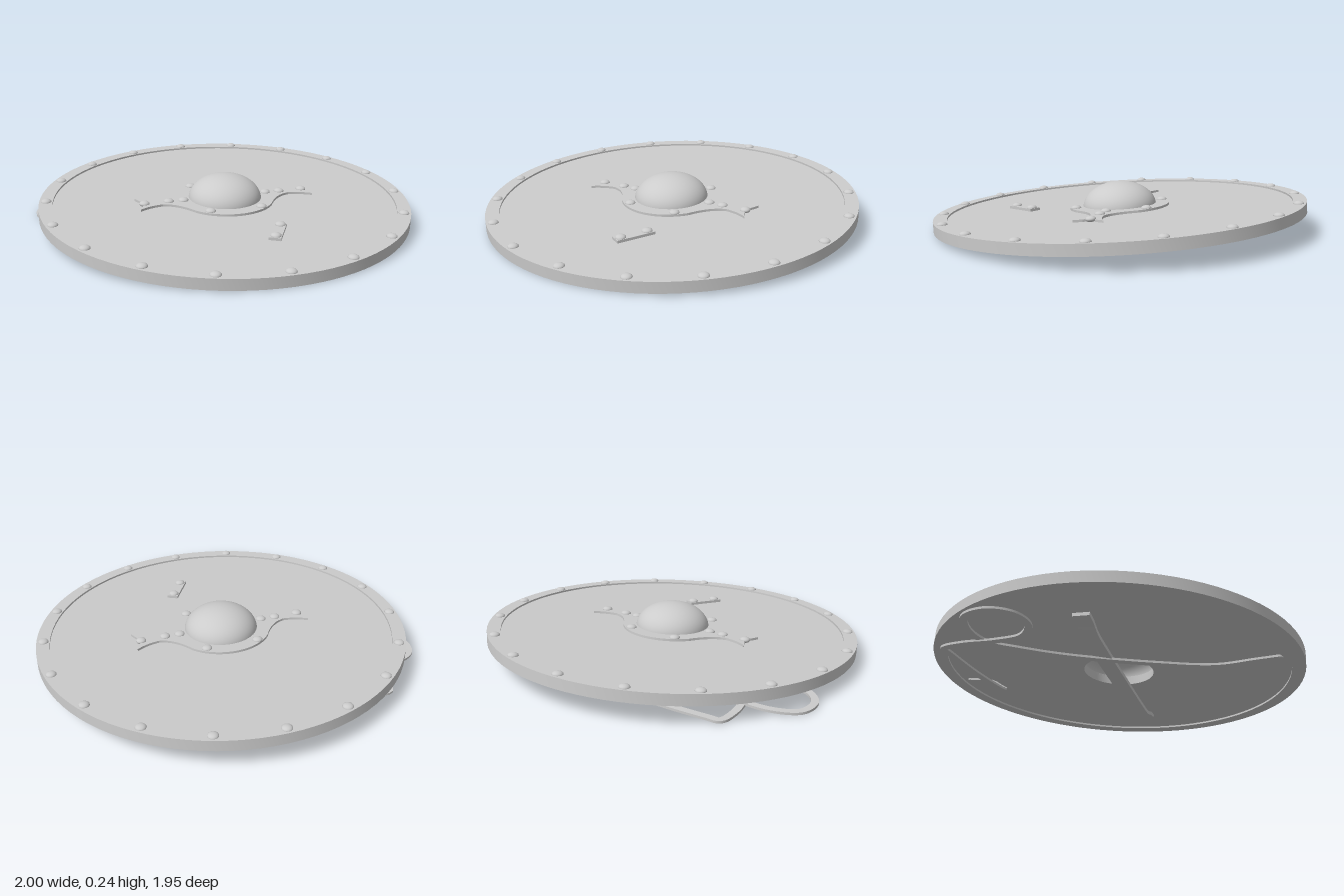
import * as THREE from 'three';
import { toCreasedNormals } from 'three/addons/utils/BufferGeometryUtils.js';

const material = new THREE.MeshStandardMaterial({ color: 0xcccccc });
const openMaterial = new THREE.MeshStandardMaterial({ color: 0xcccccc, side: THREE.DoubleSide });
const FACE = 0.018; // half thickness of the board

function add(parent, name, geometry, mat = material) {
  const mesh = new THREE.Mesh(geometry, mat);
  mesh.name = name;
  parent.add(mesh);
  return mesh;
}

// Flat band of rectangular section swept along a curve, kept level across its width
function bandGeometry(points, width, thickness, steps) {
  const curve = new THREE.CatmullRomCurve3(points.map(p => new THREE.Vector3(...p)), false, 'centripetal');
  const up = new THREE.Vector3(0, 1, 0);
  const positions = [], index = [];
  for (let i = 0; i <= steps; i++) {
    const p = curve.getPointAt(i / steps);
    const t = curve.getTangentAt(i / steps);
    const side = new THREE.Vector3().crossVectors(t, up).normalize();
    const normal = new THREE.Vector3().crossVectors(side, t).normalize();
    for (const [a, b] of [[-1, -1], [1, -1], [1, 1], [-1, 1]]) {
      const v = p.clone().addScaledVector(side, a * width / 2).addScaledVector(normal, b * thickness / 2);
      positions.push(v.x, v.y, v.z);
    }
    if (i === steps) break;
    for (let k = 0; k < 4; k++) {
      const a = i * 4 + k, b = i * 4 + (k + 1) % 4;
      index.push(a, b + 4, b, a, a + 4, b + 4);
    }
  }
  const e = steps * 4;
  index.push(0, 1, 2, 0, 2, 3, e, e + 2, e + 1, e, e + 3, e + 2);
  const geometry = new THREE.BufferGeometry();
  geometry.setAttribute('position', new THREE.Float32BufferAttribute(positions, 3));
  geometry.setIndex(index);
  return toCreasedNormals(geometry, 0.6);
}

const rivetGeometry = new THREE.SphereGeometry(0.027, 16, 10);
function addRivet(parent, name, x, y, z, size = 1) {
  const rivet = add(parent, name, rivetGeometry);
  rivet.position.set(x, y, z);
  rivet.scale.set(size, 0.55 * size, size);
}

// Ring outline with a flared, forked arm on both sides
function bossPlateShape() {
  const shape = new THREE.Shape();
  const start = 0.68, r = 0.265;
  const cx = r * Math.cos(start), cy = r * Math.sin(start);
  shape.moveTo(cx, cy);
  shape.absarc(0, 0, r, start, Math.PI - start, false);
  for (const s of [-1, 1]) {
    shape.quadraticCurveTo(s * 0.27, -s * s * s * -0 + (s < 0 ? 0.05 : -0.05), s * 0.35, s < 0 ? 0.035 : -0.035);
    const q = s < 0 ? 1 : -1;
    shape.quadraticCurveTo(s * 0.42, q * 0.042, s * 0.475, q * 0.08);
    shape.lineTo(s * 0.455, q * 0.035);
    shape.lineTo(s * 0.425, 0);
    shape.lineTo(s * 0.455, -q * 0.035);
    shape.lineTo(s * 0.475, -q * 0.08);
    shape.quadraticCurveTo(s * 0.42, -q * 0.042, s * 0.35, -q * 0.035);
    shape.quadraticCurveTo(s * 0.27, -q * 0.05, s * cx, -q * cy);
    if (s < 0) shape.absarc(0, 0, r, Math.PI + start, 2 * Math.PI - start, false);
  }
  const hole = new THREE.Path();
  hole.absarc(0, 0, 0.188, 0, Math.PI * 2, true);
  shape.holes.push(hole);
  return shape;
}

export function createModel() {
  const model = new THREE.Group();
  model.name = 'roundShield';

  // Shield body, lying slightly tilted
  const shield = new THREE.Group();
  shield.name = 'shieldBody';
  shield.position.set(0.022, 0.087, 0);
  shield.quaternion.setFromUnitVectors(new THREE.Vector3(0, 1, 0), new THREE.Vector3(0.028, 1, 0.053).normalize());
  model.add(shield);

  // Board with a hand opening
  const ring = (inner, outer, half) => {
    const profile = [[inner, -half], [outer, -half], [outer, half], [inner, half], [inner, -half]];
    return toCreasedNormals(new THREE.LatheGeometry(profile.map(p => new THREE.Vector2(...p)), 96), 0.6);
  };
  add(shield, 'board', ring(0.186, 0.94, FACE));
  add(shield, 'rim', ring(0.907, 0.977, 0.028));
  for (let i = 0; i < 18; i++) {
    const a = i * Math.PI / 9;
    addRivet(shield, 'rimRivet', 0.94 * Math.cos(a), 0.028, 0.94 * Math.sin(a));
  }

  // Hollow boss
  const dome = [];
  for (let i = 0; i <= 16; i++) {
    const a = i / 16 * Math.PI / 2;
    dome.push(new THREE.Vector2(0.195 * Math.cos(a), FACE + 0.133 * Math.sin(a)));
  }
  dome[16].x = 0;
  add(shield, 'boss', new THREE.LatheGeometry(dome, 48), openMaterial);

  // Boss plate with forked arms
  const plate = add(shield, 'bossPlate',
    new THREE.ExtrudeGeometry(bossPlateShape(), { depth: 0.012, bevelEnabled: false, curveSegments: 32 })
      .rotateX(-Math.PI / 2));
  plate.position.y = FACE;
  plate.rotation.y = Math.PI / 6;
  const plateRivets = [[0.38, -0.22], [0.268, -0.155], [0.198, -0.118], [0.023, -0.232], [-0.217, -0.1]];
  for (const [x, z] of plateRivets) {
    addRivet(shield, 'plateRivet', x, FACE + 0.012, z);
    addRivet(shield, 'plateRivet', -x, FACE + 0.012, -z);
  }

  // Small repair plate on the front face
  const patch = add(shield, 'repairPlate', new THREE.BoxGeometry(0.06, 0.014, 0.2));
  patch.position.set(0.348, FACE + 0.007, 0.39);
  for (const z of [0.32, 0.46]) addRivet(shield, 'repairRivet', 0.348, FACE + 0.014, z);

  // Grip bar across the back
  const grip = add(shield, 'grip', bandGeometry([
    [-0.69, -0.026, 0], [-0.63, -0.032, 0], [-0.54, -0.056, 0], [-0.4, -0.062, 0], [0, -0.064, 0],
    [0.4, -0.062, 0], [0.54, -0.056, 0], [0.63, -0.032, 0], [0.69, -0.026, 0]], 0.085, 0.02, 60));
  grip.rotation.y = 0.61;

  // Carrying strap, slack on the ground with one loop past the edge
  const loop = [];
  for (let i = 0; i <= 8; i++) {
    const a = -0.9 + i * 0.72;
    loop.push([-0.83 + 0.155 * Math.cos(a), 0.009 + i * 0.001, 0.12 + 0.165 * Math.sin(a)]);
  }
  add(model, 'strap', bandGeometry([
    [0.44, 0.012, 0.75], [0.38, 0.012, 0.65], [0.27, 0.012, 0.47], [0.01, 0.01, 0.29], [-0.38, 0.008, 0.08],
    [-0.62, 0.008, -0.01], [-0.76, 0.016, -0.06], [-0.9, 0.014, 0], [-0.982, 0.009, 0.12],
    [-0.94, 0.008, 0.23], [-0.83, 0.008, 0.275], [-0.72, 0.008, 0.23], [-0.68, 0.008, 0.12],
    [-0.74, 0.008, 0], [-0.85, 0.008, -0.14], [-0.89, 0.01, -0.24], [-0.84, 0.011, -0.275],
    [-0.6, 0.012, -0.41], [-0.39, 0.02, -0.51], [-0.35, 0.055, -0.56], [-0.4, 0.098, -0.62], [-0.48, 0.112, -0.71],
  ], 0.036, 0.012, 220));
  for (const [x, z] of [[0.42, 0.75], [0.37, 0.67], [-0.5, -0.7], [-0.45, -0.64]]) {
    addRivet(shield, 'strapRivet', x, -FACE - 0.008, z, 0.55);
  }
  return model;
}
